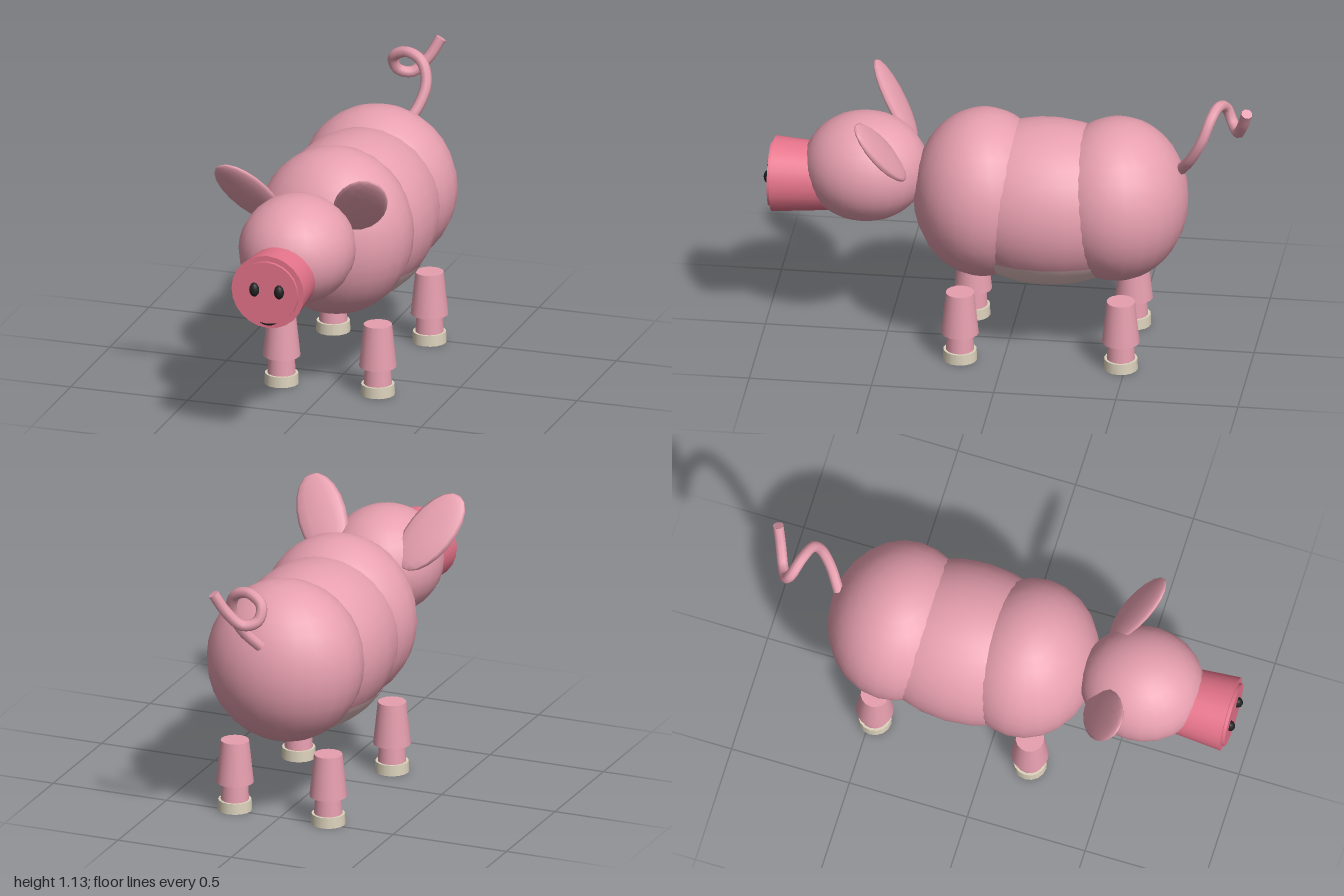
import * as THREE from 'three';

const mat = (name, color) => {
  const m = new THREE.MeshStandardMaterial({ color });
  m.name = name;
  return m;
};

export function createModel() {
  const pig = new THREE.Group();
  pig.name = 'pig';
  const pink = mat('pink skin', 0xe8a0b0);
  const rose = mat('rose snout', 0xe8758c);
  const pale = mat('pale belly', 0xeec8c8);
  const cream = mat('cream hoof', 0xdcd2bc);
  const dark = mat('dark detail', 0x222222);

  const add = (name, geometry, material, x, y, z, parent = pig) => {
    const mesh = new THREE.Mesh(geometry, material);
    mesh.name = name;
    mesh.position.set(x, y, z);
    parent.add(mesh);
    return mesh;
  };
  const ball = (rx, ry, rz, w = 24, h = 16) => new THREE.SphereGeometry(1, w, h).scale(rx, ry, rz);

  // Body: shoulders, barrel and rump
  add('shoulders', ball(0.325, 0.35, 0.285), pink, 0, 0.66, 0.108);
  add('barrel', ball(0.33, 0.342, 0.45), pink, 0, 0.637, -0.155);
  add('rump', ball(0.327, 0.338, 0.29), pink, 0, 0.663, -0.44);

  // Belly patch: lower cap just outside the barrel
  const cap = new THREE.SphereGeometry(1, 24, 8, 0, Math.PI * 2, 2.13, Math.PI - 2.13);
  add('belly', cap.scale(0.334, 0.347, 0.455), pale, 0, 0.637, -0.155);

  // Head and snout
  add('head', ball(0.237, 0.225, 0.255), pink, 0, 0.745, 0.59);
  add('snout', new THREE.CylinderGeometry(0.155, 0.135, 0.25, 24).rotateX(Math.PI / 2), rose, 0, 0.685, 0.84);
  add('snoutPlate', new THREE.CylinderGeometry(0.132, 0.132, 0.03, 24).rotateX(Math.PI / 2), rose, 0, 0.685, 0.963);
  add('mouth', new THREE.TorusGeometry(0.05, 0.01, 8, 16, Math.PI).rotateZ(Math.PI), dark, 0, 0.6, 0.963);

  for (const s of [1, -1]) {
    const side = s > 0 ? 'left' : 'right';
    add(side + 'Nostril', ball(0.021, 0.03, 0.022, 12, 8), dark, s * 0.053, 0.695, 0.978);

    // Ears: flattened, leaning outwards and forwards
    const ear = add(side + 'Ear', ball(0.104, 0.188, 0.024, 12, 10), pink, s * 0.24, 0.927, 0.498);
    ear.rotation.set(0.585, 0, -s * 0.5);

    // Legs: thigh, shank and hoof
    for (const [end, z] of [['Front', 0.176], ['Back', -0.482]]) {
      const leg = new THREE.Group();
      leg.name = side + end + 'Leg';
      leg.position.set(s * 0.206, 0, z);
      pig.add(leg);
      add('thigh', new THREE.CylinderGeometry(0.058, 0.077, 0.18, 16), pink, 0, 0.21, 0, leg);
      add('shank', new THREE.CylinderGeometry(0.053, 0.058, 0.085, 16), pink, 0, 0.0825, 0, leg);
      add('hoof', new THREE.CylinderGeometry(0.068, 0.07, 0.045, 16), cream, 0, 0.0225, 0, leg);
    }
  }

  // Curly tail
  const path = new THREE.CatmullRomCurve3([
    [0, 0.81, -0.7], [0.06, 0.89, -0.75], [0.085, 0.99, -0.8], [0.055, 1.07, -0.83],
    [-0.015, 1.095, -0.853], [-0.08, 1.06, -0.877], [-0.075, 1.0, -0.903],
    [-0.02, 0.983, -0.93], [0.04, 1.04, -0.957], [0.087, 1.122, -0.982],
  ].map((p) => new THREE.Vector3(...p)));
  add('tail', new THREE.TubeGeometry(path, 48, 0.023, 8), pink, 0, 0, 0);
  // Tail tip closes the tube
  const tip = add('tailTip', new THREE.CircleGeometry(0.023, 8), pink, 0, 0, 0);
  tip.position.copy(path.getPoint(1));
  tip.lookAt(path.getPoint(1).add(path.getTangent(1)));

  return pig;
}
